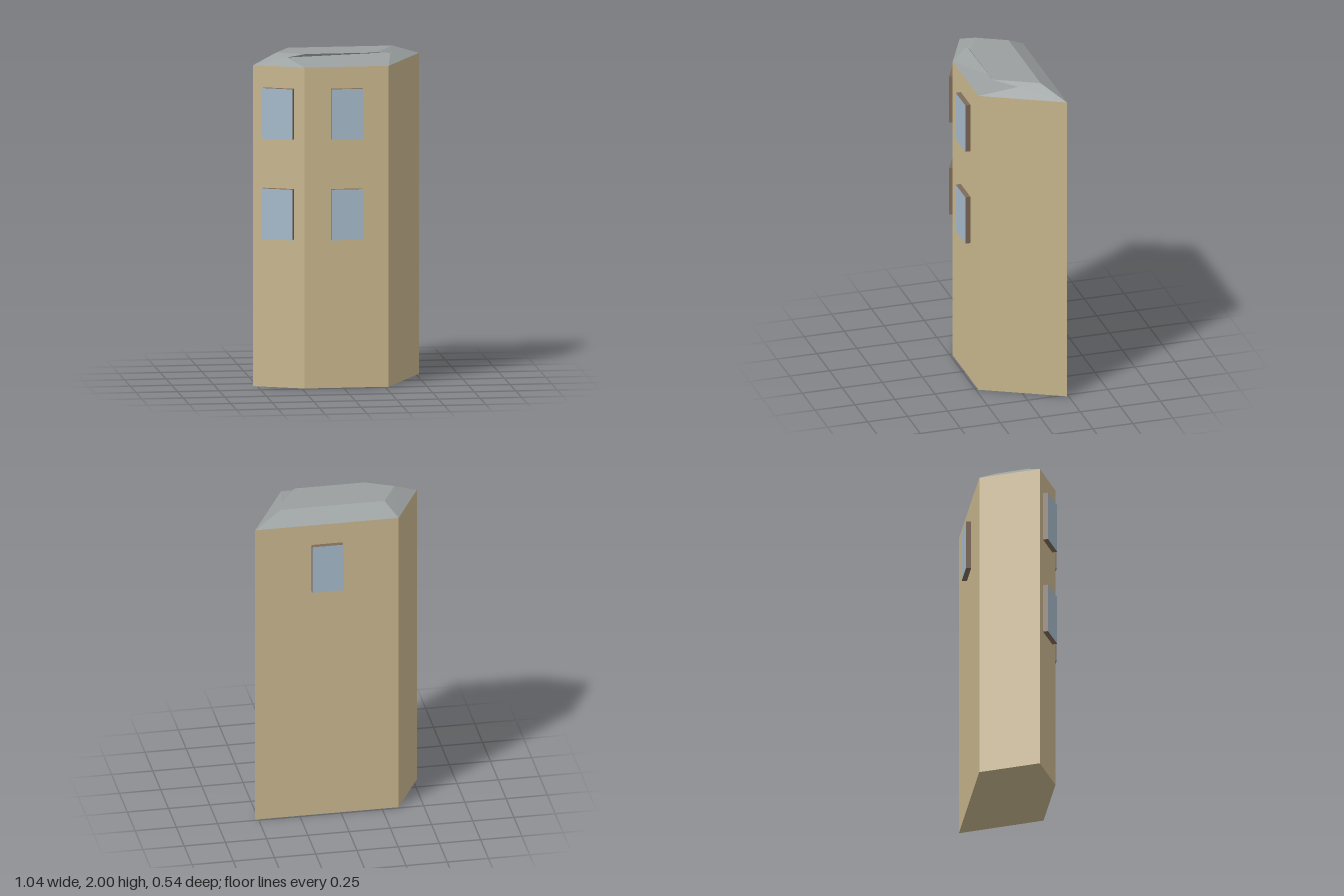
import * as THREE from 'three';

const EAVE = 1.935, RIDGE = 2, MID = 1.98;

// Footprint corners [x, z]: back right, back left, front left, front right, side
const base = [[-0.35, -0.24], [0.52, -0.24], [0.272, 0.235], [-0.235, 0.235], [-0.525, 0.1]];
// Flat roof deck corners, in the same order
const deck = [[-0.285, -0.13], [0.345, -0.13], [0.21, 0.13], [-0.215, 0.13], [-0.38, 0.05]];
// Ends of the fold tucked under the front edge of the deck
const fold = [[0.315, 0], [-0.325, 0.12]];

const material = (color, extra = {}) => new THREE.MeshStandardMaterial({ color, ...extra });
const wallMat = material(0xc9b78e, { flatShading: true });
const roofMat = material(0x9a9f9f, { flatShading: true });
const frameMat = material(0x806a58);
const glassMat = material(0xa6bacb);

function makeWalls() {
  const shape = new THREE.Shape(base.map(([x, z]) => new THREE.Vector2(x, -z)));
  const geo = new THREE.ExtrudeGeometry(shape, { depth: EAVE, bevelEnabled: false });
  geo.rotateX(-Math.PI / 2);
  const walls = new THREE.Mesh(geo, wallMat);
  walls.name = 'walls';
  return walls;
}

function makeRoof() {
  const at = (y) => ([x, z]) => [x, y, z];
  const [A, B, C, D, E] = base.map(at(EAVE));
  const [a, b, c, d, e] = deck.map(at(RIDGE));
  const [p, q] = fold.map(at(MID));
  const faces = [
    [B, A, a, b], [A, E, e, a],       // back and side slopes
    [E, D, q, e], [e, q, d],          // angled slope
    [D, C, p, q], [q, p, c, d],       // front slope and its overhang
    [B, b, p, C], [p, b, c],          // left slope
    [a, e, d, c, b],                  // flat deck
  ];
  const points = [];
  for (const f of faces)
    for (let i = 1; i < f.length - 1; i++) points.push(...f[0], ...f[i], ...f[i + 1]);
  const geo = new THREE.BufferGeometry();
  geo.setAttribute('position', new THREE.Float32BufferAttribute(points, 3));
  geo.computeVertexNormals();
  const roof = new THREE.Mesh(geo, roofMat);
  roof.name = 'roof';
  return roof;
}

// Window centred on the wall from corner i to corner i + 1
function makeWindow(i, y, name) {
  const [x0, z0] = base[i], [x1, z1] = base[i + 1];
  const w = 0.188, h = 0.305, depth = 0.03;
  const group = new THREE.Group();
  group.name = name;
  const frame = new THREE.Mesh(new THREE.BoxGeometry(w, h, depth * 2), frameMat);
  frame.name = 'windowFrame';
  const glass = new THREE.Mesh(new THREE.PlaneGeometry(w, h), glassMat);
  glass.name = 'windowGlass';
  glass.position.z = depth + 0.001;
  group.add(frame, glass);
  group.position.set((x0 + x1) / 2, y, (z0 + z1) / 2);
  group.rotation.y = Math.atan2(z1 - z0, x0 - x1);
  return group;
}

export function createModel() {
  const model = new THREE.Group();
  model.name = 'building';
  model.add(makeWalls(), makeRoof());
  for (const y of [1.047, 1.652]) {
    model.add(makeWindow(2, y, 'frontWindow'), makeWindow(3, y, 'angledWindow'));
  }
  model.add(makeWindow(0, 1.652, 'backWindow'));
  return model;
}
